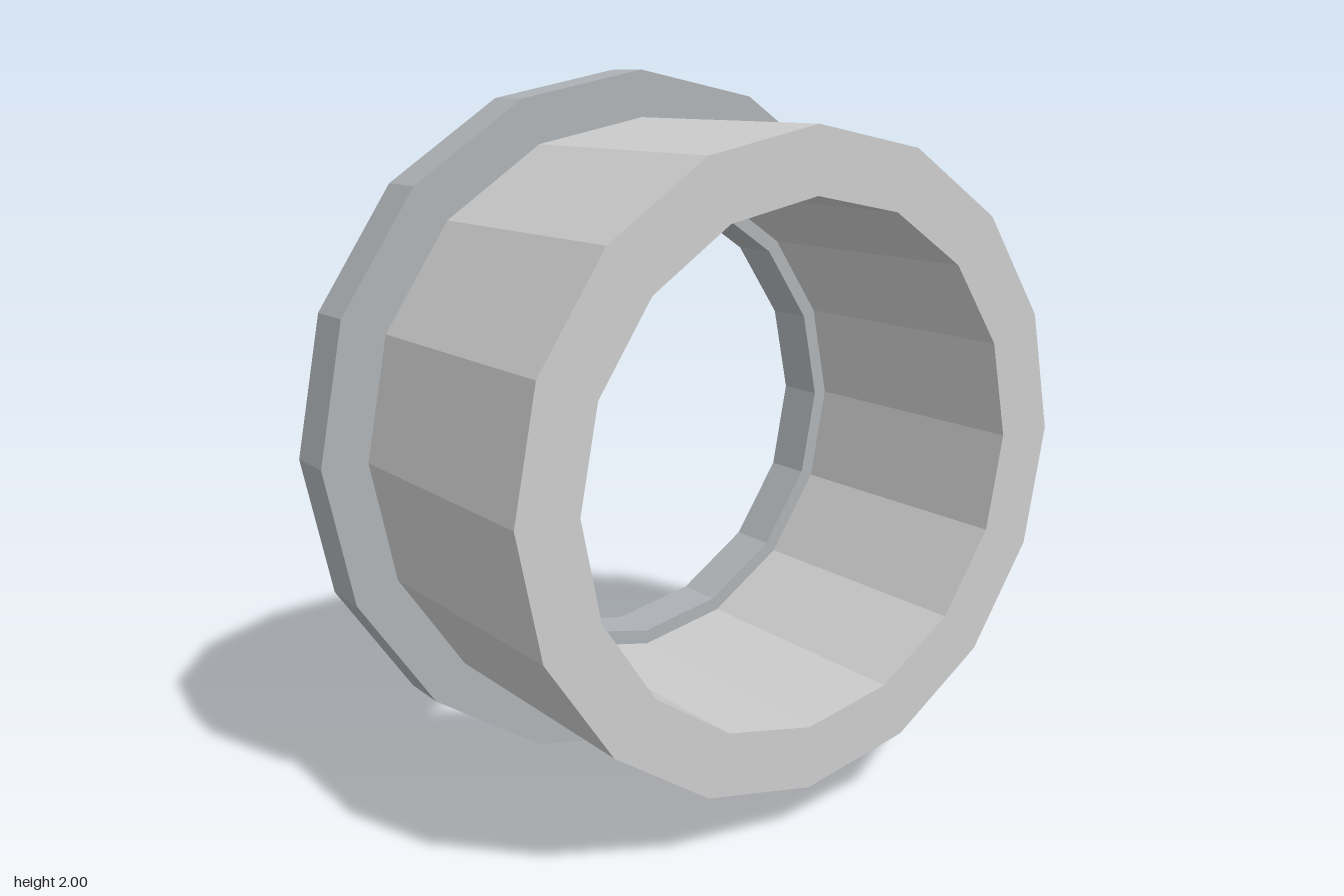
import * as THREE from 'three';

const SIDES = 16;

// Faceted ring with a rectangular section, its axis along z
function ring(name, inner, outer, back, front, color) {
  const profile = [
    [inner, back], [outer, back], [outer, front], [inner, front], [inner, back],
  ].map(([r, z]) => new THREE.Vector2(r, z));
  const geometry = new THREE.LatheGeometry(profile, SIDES);
  geometry.rotateX(Math.PI / 2);
  const mesh = new THREE.Mesh(
    geometry,
    new THREE.MeshStandardMaterial({ color, flatShading: true })
  );
  mesh.name = name;
  mesh.position.y = 1;
  return mesh;
}

export function createModel() {
  const group = new THREE.Group();
  group.name = 'flangedBushing';

  // Long sleeve facing the front
  group.add(ring('sleeve', 0.697, 0.87, -0.31, 0.455, 0xcccccc));
  // Wider collar at the back, with a slightly narrower bore
  group.add(ring('flange', 0.655, 1, -0.455, -0.31, 0xaeb2b6));

  return group;
}
